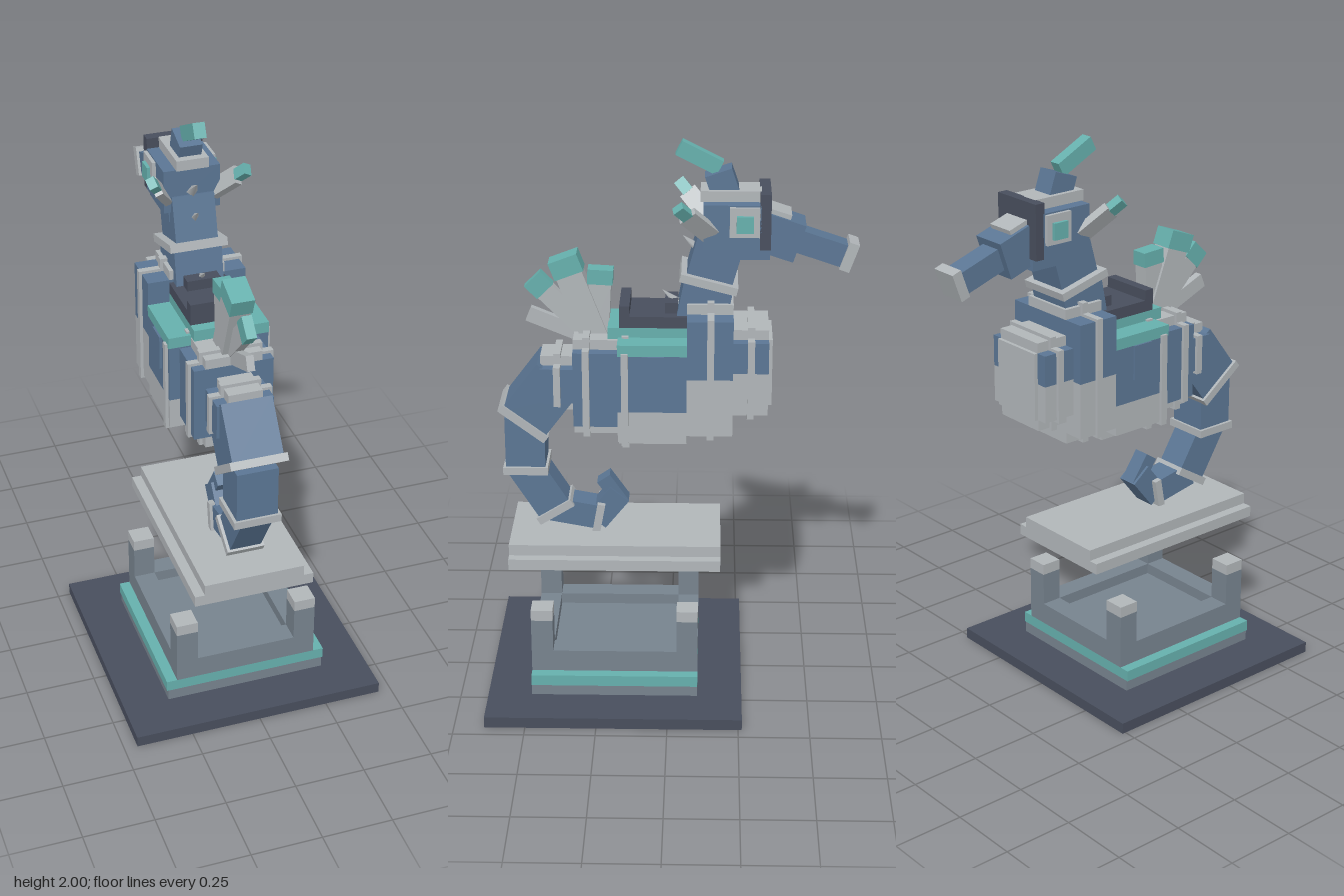
import * as THREE from 'three';

const mat = (name, color) => {
  const m = new THREE.MeshStandardMaterial({ color });
  m.name = name;
  return m;
};

export function createModel() {
  const blue = mat('blue', 0x5b7694);
  const teal = mat('teal', 0x66b0ad);
  const light = mat('lightGrey', 0xb1b6b9);
  const slate = mat('slateGrey', 0x77838e);
  const dark = mat('darkSlate', 0x484e5d);

  const model = new THREE.Group();
  model.name = 'seahorseMount';

  // Box centred on x between half widths, from y0..y1 and z0..z1
  const block = (name, m, half, y0, y1, z0, z1, x = 0) => {
    const mesh = new THREE.Mesh(new THREE.BoxGeometry(half * 2, y1 - y0, z1 - z0), m);
    mesh.position.set(x, (y0 + y1) / 2, (z0 + z1) / 2);
    mesh.name = name;
    model.add(mesh);
    return mesh;
  };
  // Box stretched from point p to point q, w wide and d deep
  const beam = (name, m, p, q, w, d) => {
    const a = new THREE.Vector3(...p), b = new THREE.Vector3(...q);
    const dir = b.clone().sub(a);
    const mesh = new THREE.Mesh(new THREE.BoxGeometry(w, dir.length(), d), m);
    mesh.position.copy(a).add(b).multiplyScalar(0.5);
    mesh.quaternion.setFromUnitVectors(new THREE.Vector3(0, 1, 0), dir.normalize());
    mesh.name = name;
    model.add(mesh);
    return mesh;
  };
  const mix = (p, q, t) => p.map((v, i) => v + (q[i] - v) * t);

  // Pedestal
  block('baseSlab', dark, 0.453, 0, 0.04, -0.263, 0.643);
  block('pedestalFoot', slate, 0.29, 0.04, 0.08, -0.105, 0.487);
  block('pedestalBand', teal, 0.295, 0.08, 0.12, -0.105, 0.487);
  block('pedestalFloor', slate, 0.18, 0.12, 0.16, -0.03, 0.41);
  for (const s of [-1, 1]) {
    block('pedestalSideWall', slate, 0.0385, 0.12, 0.2, -0.03, 0.41, s * 0.2185);
    const [z0, z1] = s < 0 ? [-0.105, -0.03] : [0.41, 0.487];
    block('pedestalEndWall', slate, 0.18, 0.12, 0.2, z0, z1);
    for (const t of [-1, 1]) {
      block('post', slate, 0.0385, 0.12, 0.32, z0, z1, t * 0.2185);
      block('postCap', light, 0.0385, 0.32, 0.36, z0, z1, t * 0.2185);
    }
  }

  // Floating plate
  block('plateLower', light, 0.215, 0.5, 0.54, -0.183, 0.565);
  block('plateUpper', light, 0.18, 0.54, 0.58, -0.183, 0.565);

  // Body segments: blue flanks, pale lower part, belly and spine strips, raised ring
  const segment = (name, half, narrow, y0, split, y1, z0, z1, ringZ, spine = light) => {
    if (split > y0) block(name + 'Lower', light, half, y0, split, z0, z1);
    block(name, blue, half, split, y1, z0, z1);
    block(name + 'Belly', light, narrow, y0 - 0.04, y0, z0, z1);
    block(name + 'Spine', spine, narrow, y1, y1 + 0.035, z0, z1);
    block(name + 'Ring', light, half + 0.011, y0 - 0.01, y1 + 0.01, ringZ - 0.012, ringZ + 0.012);
    block(name + 'RingTall', light, narrow + 0.011, y0 - 0.05, y1 + 0.047, ringZ - 0.012, ringZ + 0.012);
  };
  segment('breast', 0.14, 0.1, 1.09, 1.22, 1.33, -0.342, -0.22, -0.282);
  segment('shoulder', 0.177, 0.1, 1.01, 1.21, 1.42, -0.22, -0.062, -0.143);
  segment('trunk', 0.177, 0.1, 0.98, 1.09, 1.295, -0.062, 0.175, 0.15, teal);
  segment('rump', 0.14, 0.1, 1.02, 1.02, 1.29, 0.175, 0.33, 0.285);
  segment('tailBase', 0.1, 0.06, 1.09, 1.09, 1.215, 0.33, 0.447, 0.388);
  block('breastPlate', light, 0.1, 1.09, 1.33, -0.355, -0.342);

  // Saddle
  block('saddleBlanket', teal, 0.179, 1.295, 1.335, -0.062, 0.175);
  block('saddlePad', teal, 0.1, 1.33, 1.37, -0.062, 0.21);
  block('saddleSeat', dark, 0.1, 1.37, 1.41, -0.062, 0.17);
  block('saddleCantle', dark, 0.1, 1.41, 1.447, 0.135, 0.17);
  block('saddlePommel', dark, 0.06, 1.41, 1.447, -0.03, 0.015);
  for (const s of [-1, 1]) block('saddleFlap', blue, 0.005, 1.17, 1.295, 0.015, 0.092, s * 0.181);

  // Neck
  beam('neckLower', blue, [0, 1.37, -0.105], [0, 1.53, -0.137], 0.17, 0.17);
  beam('neckUpper', blue, [0, 1.51, -0.13], [0, 1.69, -0.18], 0.15, 0.16);
  beam('neckRing', light, [0, 1.512, -0.131], [0, 1.539, -0.138], 0.205, 0.2);

  // Head
  block('head', blue, 0.1, 1.65, 1.805, -0.31, -0.115);
  block('jaw', blue, 0.08, 1.61, 1.65, -0.34, -0.125);
  block('crownPlate', light, 0.057, 1.805, 1.842, -0.31, -0.105);
  block('facePlate', dark, 0.1, 1.65, 1.842, -0.342, -0.305);
  for (const s of [-1, 1]) {
    block('eyeFrame', light, 0.007, 1.697, 1.8, -0.304, -0.203, s * 0.106);
    block('eye', teal, 0.006, 1.715, 1.773, -0.283, -0.226, s * 0.119);
    // Ear with coloured tip
    const p = [s * 0.085, 1.7, -0.14], q = [s * 0.168, 1.815, -0.03];
    beam('ear', light, p, mix(p, q, 0.72), 0.028, 0.065);
    beam('earTip', teal, mix(p, q, 0.7), q, 0.03, 0.04);
  }

  // Snout
  beam('snoutRoot', blue, [0, 1.712, -0.285], [0, 1.66, -0.44], 0.13, 0.135);
  beam('snoutRidge', light, [0, 1.776, -0.325], [0, 1.748, -0.41], 0.105, 0.02);
  beam('snout', blue, [0, 1.672, -0.41], [0, 1.607, -0.605], 0.08, 0.08);
  beam('snoutTip', light, [0, 1.616, -0.593], [0, 1.604, -0.627], 0.1, 0.102);

  // Crest horn
  beam('crestBase', blue, [0, 1.81, -0.195], [0, 1.9, -0.164], 0.08, 0.095);
  beam('crestHorn', teal, [0, 1.91, -0.17], [0, 1.98, -0.032], 0.042, 0.053);

  // Mane spikes
  for (const [y, z] of [[1.745, -0.085], [1.645, -0.075], [1.45, -0.005]]) {
    const spike = new THREE.Mesh(new THREE.ConeGeometry(0.02, 0.08, 4), light);
    spike.position.set(0, y, z);
    spike.rotation.x = 0.85;
    spike.name = 'maneSpike';
    model.add(spike);
  }

  // Back fin fan: tip y, tip z, thickness, width, has coloured tip
  for (const [y, z, w, d, tipped] of [
    [1.553, 0.236, 0.06, 0.088, true],
    [1.595, 0.366, 0.08, 0.105, true],
    [1.515, 0.472, 0.035, 0.078, true],
    [1.388, 0.488, 0.03, 0.06, false],
  ]) {
    const p = [0, 1.29, 0.25], q = [0, y, z];
    const t = tipped ? 0.8 : 1;
    beam('finRay', light, p, mix(p, q, t), w * 0.9, d * 0.88);
    if (tipped) beam('finTip', teal, mix(p, q, t), q, w, d);
  }

  // Curled tail: start y, z, end y, z, width, depth, ring after it
  for (const [y0, z0, y1, z1, w, d, ring] of [
    [1.175, 0.385, 1.0, 0.517, 0.18, 0.18, true],
    [1.02, 0.507, 0.81, 0.507, 0.146, 0.14, true],
    [0.83, 0.515, 0.645, 0.4, 0.112, 0.125, true],
    [0.66, 0.42, 0.627, 0.24, 0.1, 0.09, true],
    [0.61, 0.262, 0.715, 0.178, 0.08, 0.085, false],
    [0.675, 0.168, 0.772, 0.235, 0.06, 0.055, false],
  ]) {
    const p = [0, y0, z0], q = [0, y1, z1];
    beam('tailSegment', blue, p, q, w, d);
    if (ring) {
      const t = 0.026 / Math.hypot(y1 - y0, z1 - z0);
      beam('tailRing', light, mix(p, q, 1 - t), mix(p, q, 1.01), w + 0.022, d + 0.018);
    }
  }
  return model;
}
